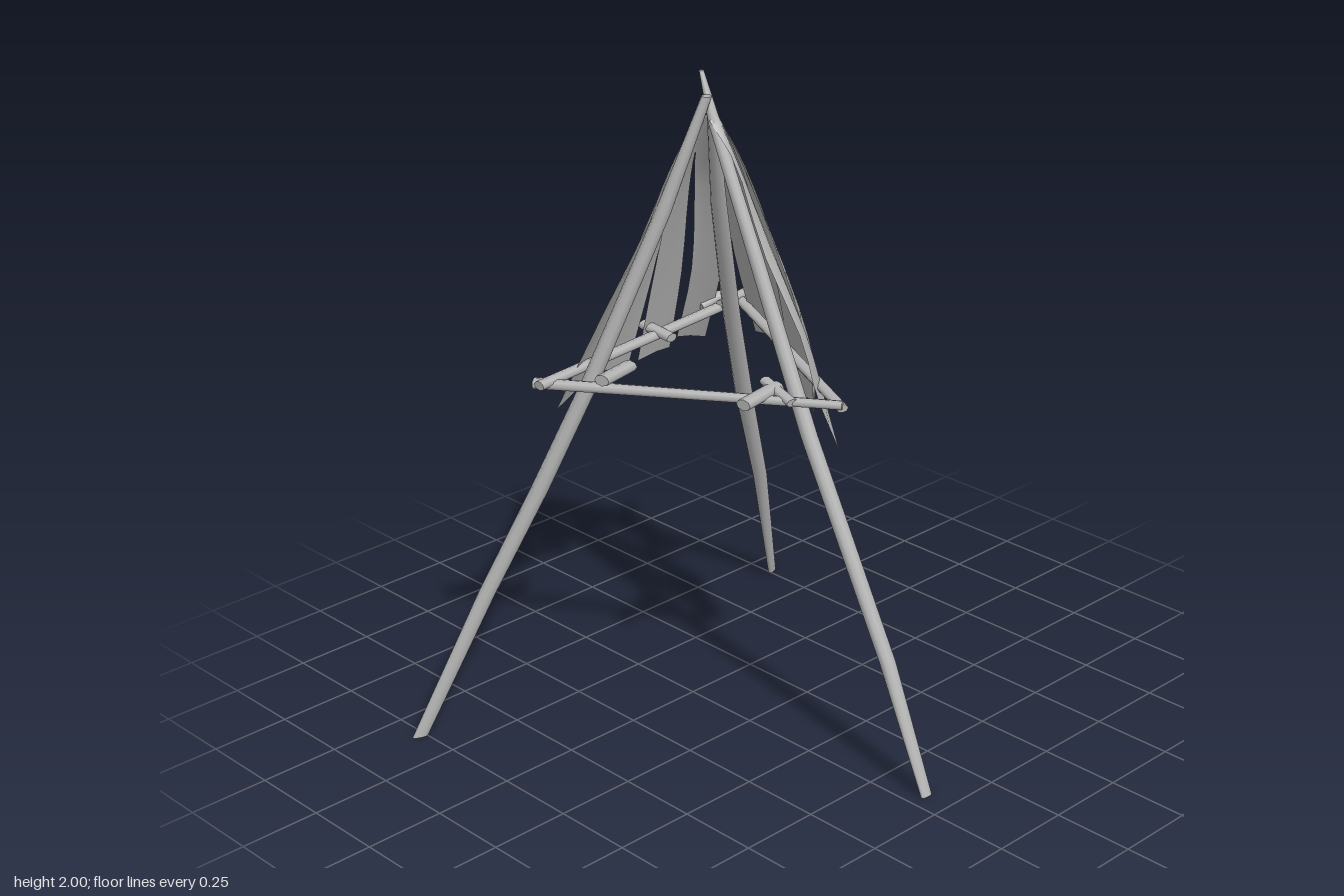
import * as THREE from 'three';

const gray = new THREE.MeshStandardMaterial({ color: 0xb4b4b4, side: THREE.DoubleSide });
gray.name = 'weathered gray';

const V = (p) => new THREE.Vector3(...p);

// Indexed grid surface from rows of points
function gridGeometry(rows) {
  const n = rows[0].length, pos = [], idx = [];
  rows.forEach((r) => r.forEach((p) => pos.push(p.x, p.y, p.z)));
  for (let i = 0; i < rows.length - 1; i++) {
    for (let j = 0; j < n - 1; j++) {
      const a = i * n + j, b = a + n;
      idx.push(a, b, a + 1, b, b + 1, a + 1);
    }
  }
  const g = new THREE.BufferGeometry();
  g.setAttribute('position', new THREE.Float32BufferAttribute(pos, 3));
  g.setIndex(idx);
  g.computeVertexNormals();
  return g;
}

function addMesh(group, name, geometry) {
  const m = new THREE.Mesh(geometry, gray);
  m.name = name;
  group.add(m);
}

// Pole with a horizontal section at each path point: [x, y, z, radius]
function addLeg(group, name, path, flatDir) {
  const sides = 10;
  const rows = path.map(([x, y, z, r], i) => {
    const flat = [0.35, 0.8][i] ?? 1; // feet are worn to a wedge
    const row = [];
    for (let k = 0; k <= sides; k++) {
      const a = -(k / sides) * Math.PI * 2;
      const u = Math.cos(a) * r, v = Math.sin(a) * r * flat;
      row.push(new THREE.Vector3(
        x + u * Math.cos(flatDir) - v * Math.sin(flatDir), y,
        z + u * Math.sin(flatDir) + v * Math.cos(flatDir)));
    }
    return row;
  });
  addMesh(group, name, gridGeometry(rows));
  // end caps
  [0, path.length - 1].forEach((e) => {
    const c = new THREE.Vector3(path[e][0], path[e][1], path[e][2]);
    addMesh(group, name + 'End', gridGeometry([rows[e], rows[e].map(() => c)]));
  });
}

// Straight, slightly flattened stick between two points
function addStick(group, name, a, b, r0, r1 = r0) {
  const p = V(a), q = V(b), d = q.clone().sub(p);
  const g = new THREE.CylinderGeometry(r1, r0, d.length(), 8);
  g.rotateX(Math.PI / 2);
  g.scale(1, 0.7, 1);
  g.lookAt(d);
  g.translate(...p.add(q).multiplyScalar(0.5).toArray());
  addMesh(group, name, g);
}

// Cloth strip: smooth down its length, each row given left to right
function addFlap(group, name, rows) {
  const steps = 12;
  const curves = rows[0].map((_, j) =>
    new THREE.CatmullRomCurve3(rows.map((r) => V(r[j])), false, 'centripetal'));
  const grid = [];
  for (let i = 0; i <= steps; i++) grid.push(curves.map((c) => c.getPoint(i / steps)));
  addMesh(group, name, gridGeometry(grid));
}

export function createModel() {
  const model = new THREE.Group();
  model.name = 'clothTripod';

  // Three bent legs
  const legs = new THREE.Group();
  legs.name = 'legs';
  addLeg(legs, 'rightLeg', [
    [-0.77, 0, -0.63, 0.025], [-0.56, 0.43, -0.55, 0.028], [-0.42, 0.76, -0.455, 0.028],
    [-0.29, 1.1, -0.36, 0.027], [-0.12, 1.6, -0.23, 0.024], [-0.02, 1.94, -0.15, 0.015]], 0.35);
  addLeg(legs, 'leftLeg', [
    [0.765, 0, -0.665, 0.025], [0.6, 0.45, -0.56, 0.028], [0.46, 0.79, -0.49, 0.028],
    [0.34, 1.1, -0.42, 0.027], [0.15, 1.55, -0.28, 0.024], [0.01, 1.88, -0.16, 0.015]], -0.4);
  addLeg(legs, 'frontLeg', [
    [0.06, 0, 0.665, 0.022], [0.052, 0.38, 0.51, 0.026], [0.035, 1.0, 0.205, 0.025],
    [0.02, 1.5, 0.0, 0.022], [0.0, 1.86, -0.14, 0.018], [0.003, 2.0, -0.195, 0.007]], 0);
  model.add(legs);

  // Cross braces and the pegs that lock them
  const braces = new THREE.Group();
  braces.name = 'braces';
  addStick(braces, 'rightBrace', [-0.42, 1.1, -0.46], [0.06, 1.12, 0.31], 0.023, 0.018);
  addStick(braces, 'backBrace', [-0.44, 1.11, -0.415], [0.45, 1.14, -0.46], 0.02);
  addStick(braces, 'leftBrace', [0.06, 1.11, 0.31], [0.42, 1.14, -0.49], 0.018);
  [
    [[-0.35, 1.15, -0.245], [-0.2, 1.14, -0.29], 0.024],
    [[-0.155, 1.13, 0.13], [0.01, 1.13, 0.1], 0.024],
    [[-0.03, 1.12, 0.2], [0.0, 1.14, 0.06], 0.018],
    [[0.05, 1.13, -0.38], [0.05, 1.14, -0.505], 0.02],
    [[0.29, 1.13, -0.51], [0.37, 1.15, -0.5], 0.02],
    [[0.31, 1.15, -0.44], [0.45, 1.15, -0.465], 0.018],
  ].forEach(([a, b, r]) => addStick(braces, 'peg', a, b, r));
  model.add(braces);

  // Torn cloth, one strip at a time around the open cone
  const cloth = new THREE.Group();
  cloth.name = 'cloth';
  addFlap(cloth, 'frontFlap', [
    [[-0.02, 1.87, -0.14], [0.0, 1.88, -0.13], [0.02, 1.87, -0.14]],
    [[0.0, 1.76, -0.06], [0.02, 1.76, -0.07], [0.035, 1.76, -0.09]],
    [[0.02, 1.52, 0.03], [0.055, 1.53, 0.02], [0.08, 1.55, -0.02]],
    [[0.05, 1.27, 0.16], [0.09, 1.27, 0.14], [0.12, 1.27, 0.1]],
    [[0.09, 1.1, 0.18], [0.14, 1.11, 0.15], [0.18, 1.12, 0.1]],
    [[0.135, 0.93, 0.23], [0.17, 0.97, 0.17], [0.21, 1.04, 0.09]]]);
  addFlap(cloth, 'frontLeftFlap', [
    [[0.01, 1.87, -0.13], [0.02, 1.87, -0.14], [0.03, 1.87, -0.16]],
    [[0.05, 1.76, -0.09], [0.06, 1.76, -0.11], [0.07, 1.76, -0.13]],
    [[0.09, 1.56, -0.02], [0.12, 1.57, -0.06], [0.13, 1.58, -0.11]],
    [[0.15, 1.25, 0.07], [0.19, 1.28, 0.02], [0.21, 1.3, -0.09]],
    [[0.18, 1.1, 0.075], [0.24, 1.1, 0.03], [0.26, 1.1, -0.11]],
    [[0.21, 0.93, 0.05], [0.28, 0.97, -0.01], [0.285, 0.97, -0.13]]]);
  addFlap(cloth, 'leftFlap', [
    [[0.015, 1.87, -0.14], [0.03, 1.87, -0.16], [0.03, 1.87, -0.18]],
    [[0.09, 1.76, -0.14], [0.11, 1.76, -0.18], [0.105, 1.76, -0.24]],
    [[0.17, 1.57, -0.12], [0.195, 1.57, -0.2], [0.2, 1.57, -0.31]],
    [[0.25, 1.33, -0.11], [0.295, 1.33, -0.23], [0.31, 1.33, -0.38]],
    [[0.31, 1.07, -0.09], [0.39, 1.07, -0.27], [0.44, 1.03, -0.42]]]);
  addFlap(cloth, 'backRightFlap', [
    [[-0.03, 1.87, -0.15], [-0.02, 1.87, -0.19], [0.01, 1.87, -0.19]],
    [[-0.09, 1.74, -0.2], [-0.04, 1.74, -0.26], [0.02, 1.74, -0.275]],
    [[-0.155, 1.57, -0.25], [-0.06, 1.58, -0.33], [0.03, 1.6, -0.345]],
    [[-0.25, 1.3, -0.345], [-0.1, 1.3, -0.43], [0.03, 1.3, -0.445]],
    [[-0.34, 0.99, -0.46], [-0.18, 1.04, -0.49], [0.0, 1.03, -0.515]]]);
  addFlap(cloth, 'backFlap', [
    [[0.01, 1.87, -0.19], [0.015, 1.87, -0.19], [0.02, 1.87, -0.19]],
    [[0.01, 1.74, -0.265], [0.03, 1.74, -0.27], [0.05, 1.74, -0.27]],
    [[0.015, 1.6, -0.335], [0.055, 1.6, -0.335], [0.09, 1.6, -0.34]],
    [[0.02, 1.3, -0.43], [0.09, 1.3, -0.44], [0.15, 1.3, -0.44]],
    [[0.02, 1.03, -0.5], [0.11, 1.03, -0.515], [0.18, 1.02, -0.53]]]);
  addFlap(cloth, 'backLeftFlap', [
    [[0.02, 1.87, -0.19], [0.03, 1.87, -0.19], [0.03, 1.87, -0.18]],
    [[0.05, 1.74, -0.27], [0.08, 1.74, -0.265], [0.1, 1.74, -0.24]],
    [[0.11, 1.6, -0.34], [0.15, 1.6, -0.335], [0.185, 1.6, -0.3]],
    [[0.19, 1.3, -0.44], [0.24, 1.3, -0.45], [0.3, 1.3, -0.42]],
    [[0.22, 1.04, -0.54], [0.29, 1.02, -0.555], [0.37, 0.99, -0.57]]]);
  model.add(cloth);

  return model;
}
